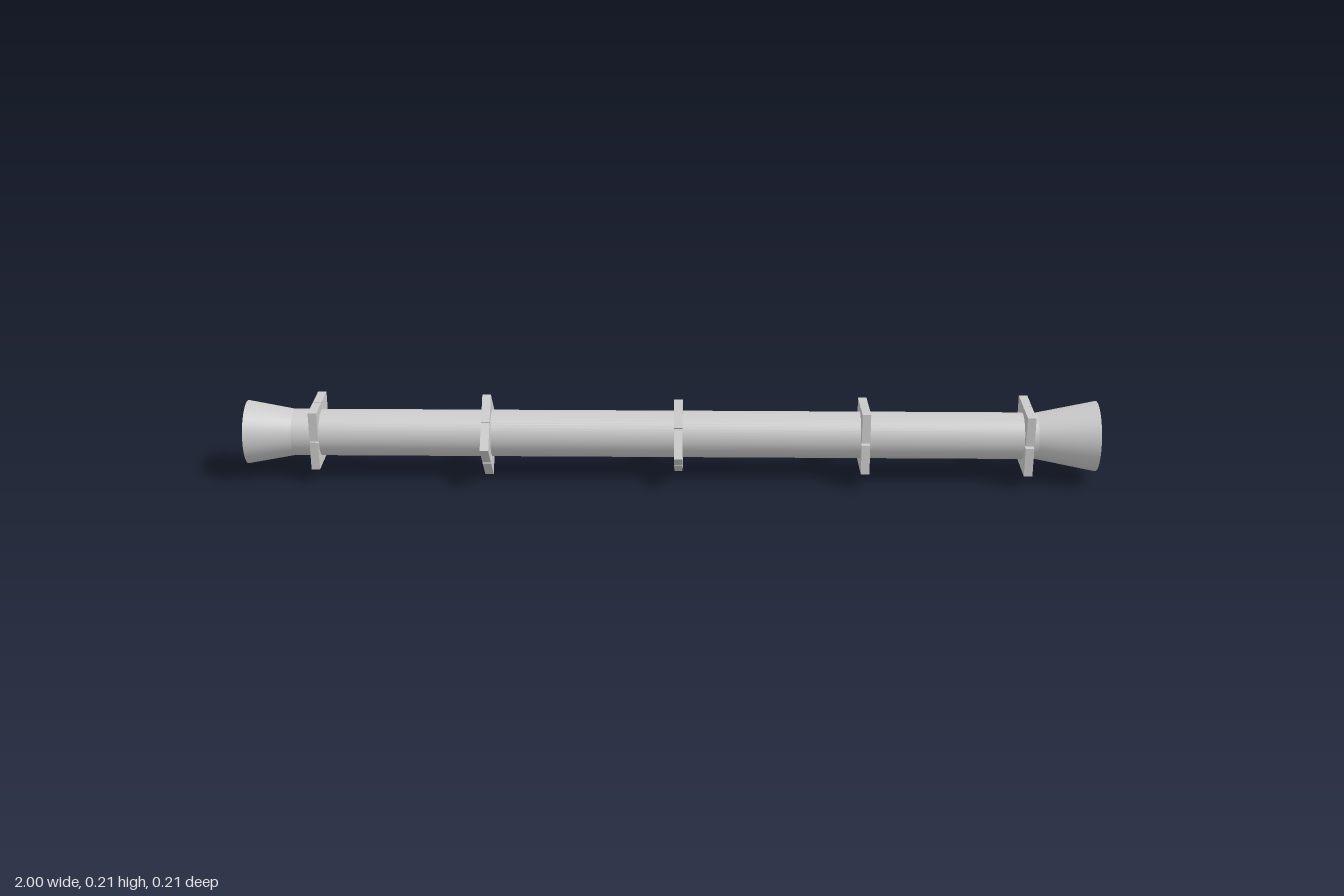
import * as THREE from 'three';

const AXIS_Y = 0.108, AXIS_Z = -0.002, TUBE_R = 0.055;

export function createModel() {
  const group = new THREE.Group();
  const skin = new THREE.MeshStandardMaterial({ color: 0xcccccc, side: THREE.DoubleSide });
  const solid = new THREE.MeshStandardMaterial({ color: 0xcccccc });

  // Open round section running along x from x0 to x1
  function section(name, x0, r0, x1, r1) {
    const geometry = new THREE.CylinderGeometry(r1, r0, x1 - x0, 48, 1, true);
    geometry.rotateZ(-Math.PI / 2);
    const mesh = new THREE.Mesh(geometry, skin);
    mesh.name = name;
    mesh.position.set((x0 + x1) / 2, AXIS_Y, AXIS_Z);
    group.add(mesh);
  }
  section('rightFlare', -1, 0.075, -0.89, TUBE_R);
  section('mainTube', -0.89, TUBE_R, 0.86, TUBE_R);
  section('leftFlare', 0.86, TUBE_R, 1, 0.083);

  // Square collar plate made of four quarters with narrow seams
  function collar(x, y, z, side, angle) {
    const plate = new THREE.Group();
    plate.name = 'collarPlate';
    const gapY = 0.006, gapZ = 0.0015;
    const h = (side - gapY) / 2, w = (side - gapZ) / 2;
    const geometry = new THREE.BoxGeometry(0.02, h, w);
    for (const sy of [-1, 1]) {
      for (const sz of [-1, 1]) {
        const quarter = new THREE.Mesh(geometry, solid);
        quarter.name = 'plateQuarter';
        quarter.position.set(0, sy * (h + gapY) / 2, sz * (w + gapZ) / 2);
        plate.add(quarter);
      }
    }
    plate.position.set(x, y, z);
    plate.rotation.x = THREE.MathUtils.degToRad(angle);
    group.add(plate);
  }
  // x, y, z, side, turn about the tube in degrees
  const collars = [
    [-0.835, 0.109, -0.011, 0.142, 0],
    [-0.432, 0.1065, 0.005, 0.144, 45],
    [0.018, 0.101, -0.008, 0.143, -34],
    [0.455, 0.107, 0, 0.145, -5],
    [0.837, 0.107, -0.005, 0.147, 0],
  ];
  for (const c of collars) collar(...c);

  return group;
}
